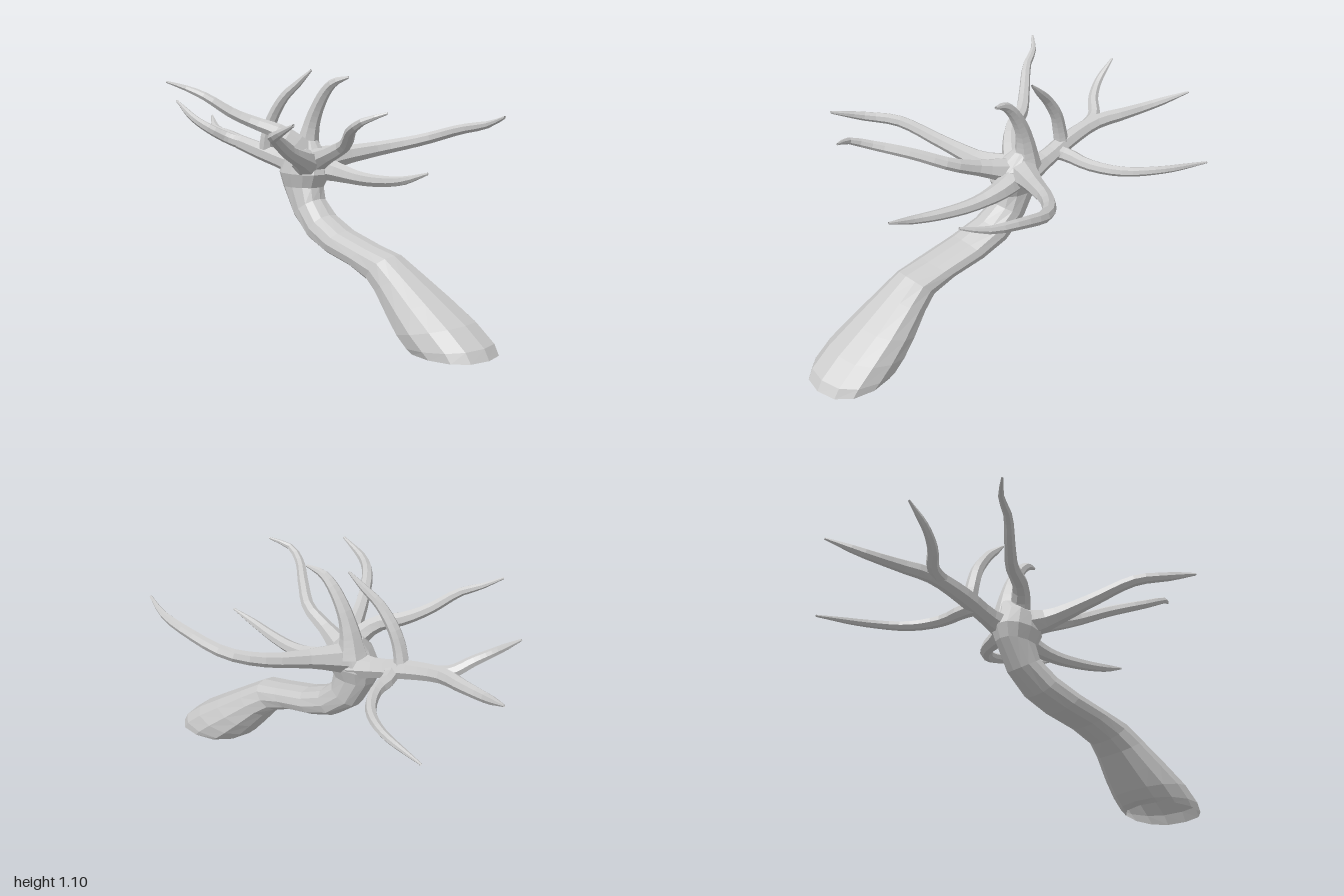
import * as THREE from 'three';

const material = new THREE.MeshStandardMaterial({ color: 0xcccccc, flatShading: true, side: THREE.DoubleSide });

// Trunk loft: each section gives upper z,y, lower z,y, min x, max x
const TRUNK = [
  [1.0, 0, 0.65, 0, -0.195, 0.13],
  [0.975, 0.045, 0.62, 0.012, -0.2, 0.135],
  [0.88, 0.12, 0.575, 0.05, -0.197, 0.132],
  [0.75, 0.2, 0.52, 0.11, -0.175, 0.115],
  [0.6, 0.29, 0.45, 0.19, -0.145, 0.085],
  [0.5, 0.35, 0.39, 0.235, -0.127, 0.065],
  [0.38, 0.372, 0.28, 0.28, -0.117, 0.072],
  [0.2, 0.415, 0.13, 0.312, -0.1, 0.09],
  [0.08, 0.467, 0, 0.357, -0.075, 0.1],
  [0.01, 0.53, -0.12, 0.445, -0.048, 0.1],
  [0, 0.58, -0.2, 0.575, -0.042, 0.102],
  [0.03, 0.64, -0.22, 0.64, -0.06, 0.125],
  [0.01, 0.71, -0.18, 0.73, -0.045, 0.125],
  [-0.06, 0.78, -0.16, 0.78, 0.02, 0.105],
  [-0.12, 0.79, -0.12, 0.79, 0.065, 0.065],
];

function makeTrunk(sides = 12) {
  const pos = [], index = [];
  // Slightly squared-off ellipse
  const soften = (v) => Math.sign(v) * Math.abs(v) ** 0.85;
  for (const [uz, uy, lz, ly, x0, x1] of TRUNK) {
    for (let j = 0; j < sides; j++) {
      const a = (j / sides) * Math.PI * 2;
      const s = (1 + soften(Math.sin(a))) / 2;
      pos.push((x0 + x1) / 2 + soften(Math.cos(a)) * (x1 - x0) / 2, ly + (uy - ly) * s, lz + (uz - lz) * s);
    }
  }
  for (let i = 0; i < TRUNK.length - 1; i++) {
    for (let j = 0; j < sides; j++) {
      const a = i * sides + j, b = i * sides + (j + 1) % sides;
      index.push(a, b, a + sides, b, b + sides, a + sides);
    }
  }
  // Sections run from front to back, so reverse the winding
  const g = new THREE.BufferGeometry();
  g.setAttribute('position', new THREE.Float32BufferAttribute(pos, 3));
  g.setIndex(index.reverse());
  g.computeVertexNormals();
  return g;
}

// Tube along a smooth path whose radius follows a list of values
function makeBranch(points, radii, segments = 16, sides = 7) {
  const curve = new THREE.CatmullRomCurve3(points.map((p) => new THREE.Vector3(...p)));
  const g = new THREE.TubeGeometry(curve, segments, 1, sides, false);
  const pos = g.attributes.position, v = new THREE.Vector3();
  for (let i = 0; i <= segments; i++) {
    const c = curve.getPointAt(i / segments);
    const t = (i / segments) * (radii.length - 1);
    const k = Math.min(Math.floor(t), radii.length - 2);
    const r = THREE.MathUtils.lerp(radii[k], radii[k + 1], t - k);
    for (let j = 0; j <= sides; j++) {
      const n = i * (sides + 1) + j;
      v.fromBufferAttribute(pos, n).sub(c).multiplyScalar(r).add(c);
      pos.setXYZ(n, v.x, v.y, v.z);
    }
  }
  g.computeVertexNormals();
  return g;
}

const LIMB = [0.075, 0.044, 0.033, 0.028, 0.025, 0.02, 0.006];
const THIN = [0.036, 0.028, 0.024, 0.02, 0.015, 0.005];

const BRANCHES = {
  // Branches reaching forward
  frontRightOuterBranch: [LIMB, [[0.02, 0.68, -0.07], [-0.06, 0.705, 0], [-0.25, 0.77, 0.09], [-0.42, 0.845, 0.19], [-0.52, 0.87, 0.3], [-0.565, 0.925, 0.45]]],
  frontRightInnerBranch: [[0.06, 0.037, 0.029, 0.026, 0.023, 0.018, 0.005], [[0.04, 0.69, -0.05], [-0.01, 0.74, 0.1], [-0.04, 0.79, 0.22], [-0.14, 0.845, 0.34], [-0.26, 0.89, 0.47], [-0.295, 0.93, 0.56], [-0.25, 0.965, 0.65]]],
  frontMiddleBranch: [[0.065, 0.046, 0.033, 0.028, 0.024, 0.018, 0.005], [[0.07, 0.67, -0.07], [0.09, 0.65, 0.05], [0.08, 0.635, 0.2], [0.05, 0.64, 0.36], [0.025, 0.66, 0.5], [0.03, 0.7, 0.625]]],
  frontLeftBranch: [LIMB, [[0.06, 0.68, -0.09], [0.13, 0.695, -0.06], [0.25, 0.715, 0], [0.4, 0.74, 0.08], [0.51, 0.775, 0.2], [0.55, 0.83, 0.38], [0.535, 0.865, 0.55], [0.5, 0.905, 0.66]]],
  // Upright branch on the crown, curling forward
  crownBranch: [[0.07, 0.05, 0.038, 0.032, 0.027, 0.02, 0.006], [[0.07, 0.7, -0.12], [0.075, 0.8, -0.11], [0.08, 0.9, -0.08], [0.085, 1.0, -0.02], [0.09, 1.045, 0.03], [0.11, 1.07, 0.1]]],
  backRightBranch: [[0.055, 0.04, 0.032, 0.026, 0.022, 0.016, 0.005], [[0.04, 0.7, -0.08], [-0.01, 0.775, -0.11], [-0.055, 0.82, -0.16], [-0.1, 0.855, -0.26], [-0.17, 0.9, -0.345], [-0.25, 0.975, -0.44], [-0.29, 1.01, -0.52], [-0.36, 1.042, -0.585]]],
  // Back stem and its offshoots
  backBranch: [[0.065, 0.042, 0.042, 0.037, 0.033, 0.026, 0.02, 0.005], [[0.06, 0.65, -0.12], [0.06, 0.675, -0.25], [0.05, 0.71, -0.4], [0.06, 0.745, -0.58], [0.11, 0.76, -0.71], [0.16, 0.775, -0.85], [0.26, 0.828, -1.0]]],
  backForkBranch: [[0.033, 0.03, 0.026, 0.021, 0.016, 0.005], [[0.055, 0.73, -0.49], [0.03, 0.755, -0.6], [-0.035, 0.8, -0.665], [-0.075, 0.85, -0.74], [-0.09, 0.93, -0.85]]],
  backLeftBranch: [THIN, [[0.05, 0.69, -0.32], [0.11, 0.677, -0.35], [0.22, 0.667, -0.365], [0.35, 0.657, -0.44], [0.46, 0.655, -0.58], [0.53, 0.63, -0.82]]],
  backUprightBranch: [[0.035, 0.032, 0.029, 0.026, 0.022, 0.016, 0.005], [[0.05, 0.69, -0.37], [0.045, 0.78, -0.355], [0.05, 0.87, -0.325], [0.06, 0.97, -0.255], [0.08, 1.03, -0.19], [0.1, 1.095, -0.12]]],
};

export function createModel() {
  const group = new THREE.Group();
  group.name = 'bareTree';
  const add = (name, geometry) => {
    const mesh = new THREE.Mesh(geometry, material);
    mesh.name = name;
    group.add(mesh);
  };
  add('trunk', makeTrunk());
  for (const [name, [radii, points]] of Object.entries(BRANCHES)) add(name, makeBranch(points, radii));
  return group;
}
